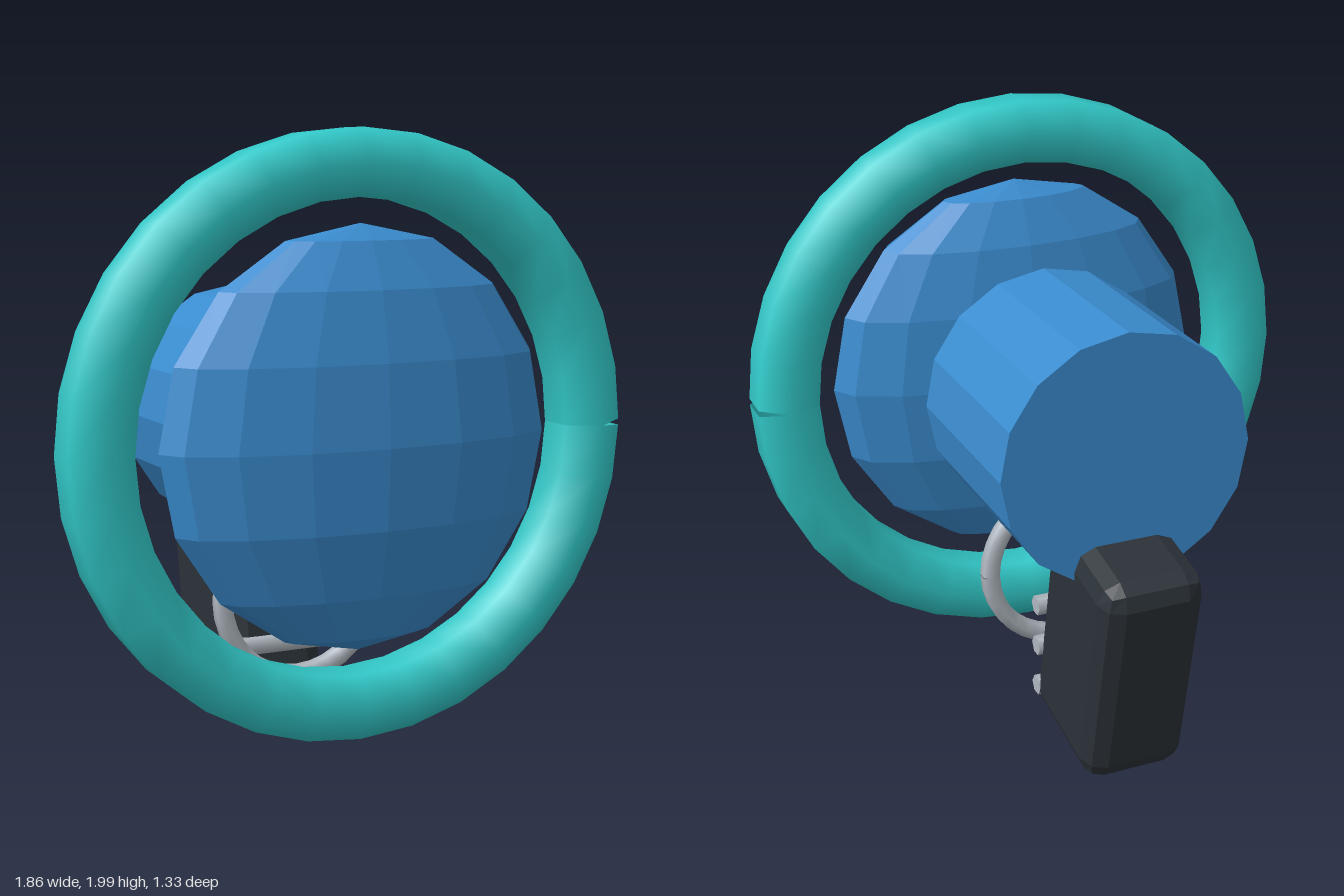
import * as THREE from 'three';
import { RoundedBoxGeometry } from 'three/addons/geometries/RoundedBoxGeometry.js';

export function createModel() {
  const model = new THREE.Group();

  const material = (name, color, options = {}) => {
    const m = new THREE.MeshStandardMaterial({ color, ...options });
    m.name = name;
    return m;
  };
  const blue = material('blue', 0x3a8ccf, { flatShading: true });
  const teal = material('teal', 0x33cccc, { side: THREE.DoubleSide });
  const dark = material('charcoal', 0x2b3238, { flatShading: true });
  const silver = material('silver', 0xb0b8c0, { side: THREE.DoubleSide });

  const add = (name, geometry, mat, x, y, z) => {
    const mesh = new THREE.Mesh(geometry, mat);
    mesh.name = name;
    mesh.position.set(x, y, z);
    model.add(mesh);
    return mesh;
  };

  // Hexagonal tube bent into a hoop, its two ends meeting at +x
  const hoop = (radius, tube) => {
    const points = [];
    for (let i = 0; i <= 32; i++) {
      const a = (i / 32) * Math.PI * 2;
      points.push(new THREE.Vector3(radius * Math.cos(a), radius * Math.sin(a), 0));
    }
    return new THREE.TubeGeometry(new THREE.CatmullRomCurve3(points), 32, tube, 6, false);
  };

  const axisY = 1.07;

  // Front lens and the hoop around it
  const lens = add('lens', new THREE.SphereGeometry(0.65, 16, 8), blue, 0, axisY, 0.47);
  lens.scale.z = 0.2 / 0.65;
  add('outerRing', hoop(0.829, 0.117), teal, 0, axisY, 0.432);

  // Thin disc between lens and body
  const disc = add('backDisc', new THREE.CylinderGeometry(0.3, 0.3, 0.014, 16), dark, 0, axisY, 0.252);
  disc.rotation.x = Math.PI / 2;

  // Body drum
  const body = add('body', new THREE.CylinderGeometry(0.415, 0.415, 0.65, 16), blue, 0, axisY, -0.105);
  body.rotation.x = Math.PI / 2;

  // Tilted grip
  const grip = add('grip', new RoundedBoxGeometry(0.35, 0.77, 0.47, 1, 0.07), dark, 0, 0.418, -0.37);
  grip.rotation.x = -0.2;

  // Trigger guard hoop, its top sunk into the body
  add('triggerGuard', hoop(0.27, 0.033), silver, 0, 0.505, 0.05);

  // Finger bars across the front of the grip
  for (const y of [0.15, 0.3, 0.45]) {
    const bar = add('fingerBar', new THREE.CylinderGeometry(0.033, 0.033, 0.35, 6), silver, 0, y, -0.113);
    bar.rotation.z = Math.PI / 2;
  }

  return model;
}
